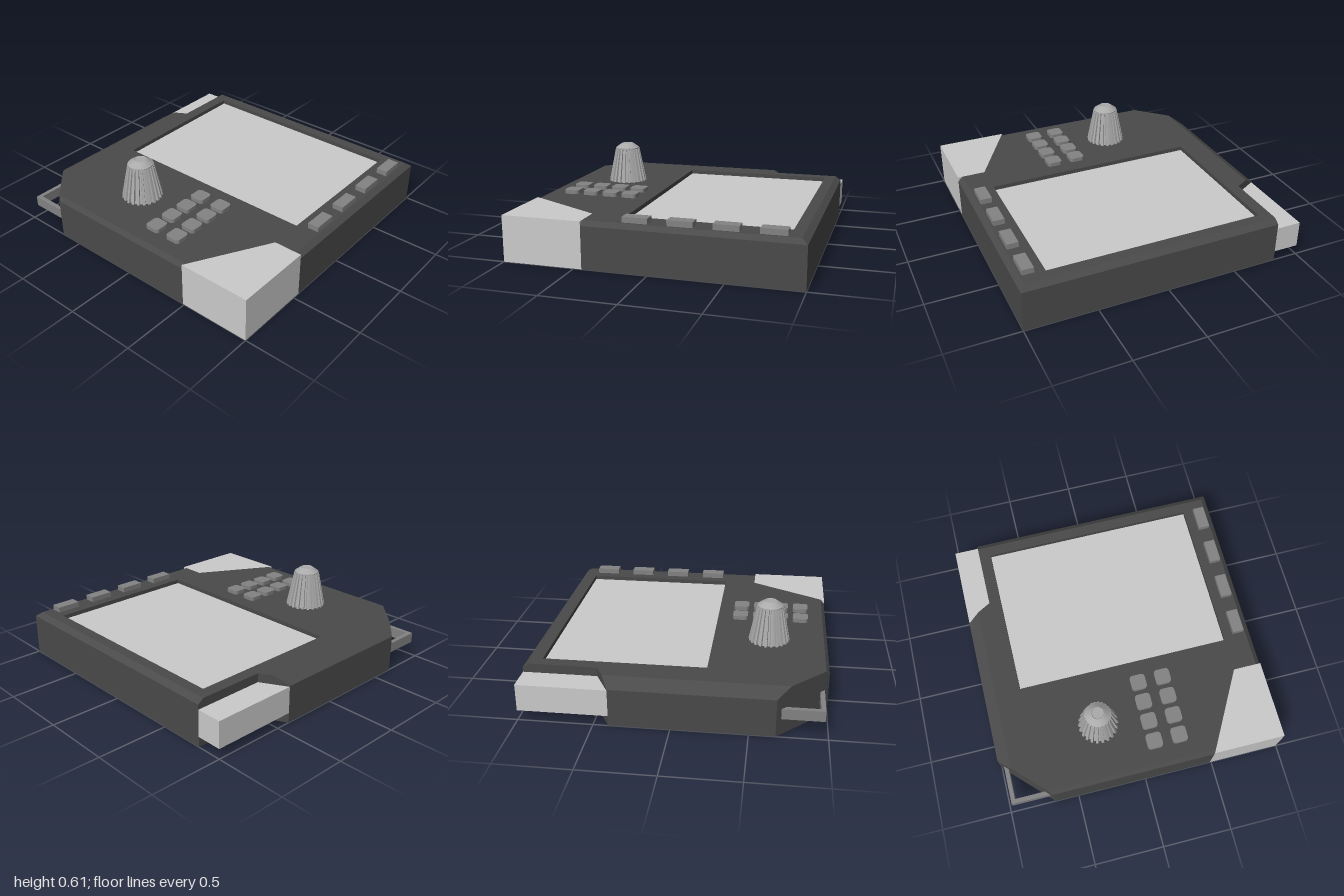
import * as THREE from 'three';

const mat = (color) => new THREE.MeshStandardMaterial({ color, flatShading: true });
const light = mat(0xcccccc), dark = mat(0x4a4a4a), mid = mat(0x838383), knobGrey = mat(0xaaaaaa);

function add(parent, name, geometry, material) {
  const mesh = new THREE.Mesh(geometry, material);
  mesh.name = name;
  parent.add(mesh);
  return mesh;
}

// Upright prism over a plan shape (shape y = -z) between two heights
function prism(shape, y0, y1) {
  const g = new THREE.ExtrudeGeometry(shape, { depth: y1 - y0, bevelEnabled: false, curveSegments: 4 });
  return g.rotateX(-Math.PI / 2).translate(0, y0, 0);
}
const plan = (pts) => new THREE.Shape(pts.map(([x, z]) => new THREE.Vector2(x, -z)));

function box(x0, x1, y0, y1, z0, z1) {
  return new THREE.BoxGeometry(x1 - x0, y1 - y0, z1 - z0)
    .translate((x0 + x1) / 2, (y0 + y1) / 2, (z0 + z1) / 2);
}

function roundedPad(cx, cz, s, r) {
  const h = s / 2, sh = new THREE.Shape();
  sh.moveTo(-h + r, -h);
  sh.absarc(h - r, -h + r, r, -Math.PI / 2, 0);
  sh.absarc(h - r, h - r, r, 0, Math.PI / 2);
  sh.absarc(-h + r, h - r, r, Math.PI / 2, Math.PI);
  sh.absarc(-h + r, -h + r, r, Math.PI, Math.PI * 1.5);
  return prism(sh, 0.31, 0.348).translate(cx, 0, cz);
}

// Walls between successive rings of [x, y, z] points
function walls(rings) {
  const out = [];
  const tri = (...p) => {
    const [a, b, c] = p.map((q) => new THREE.Vector3(...q));
    if (b.clone().sub(a).cross(c.clone().sub(a)).length() > 1e-7) out.push(...p.flat());
  };
  for (let k = 0; k + 1 < rings.length; k++) {
    const lo = rings[k], hi = rings[k + 1];
    lo.forEach((a, i) => {
      const j = (i + 1) % lo.length;
      tri(a, lo[j], hi[j]);
      tri(a, hi[j], hi[i]);
    });
  }
  const g = new THREE.BufferGeometry();
  g.setAttribute('position', new THREE.Float32BufferAttribute(out, 3));
  g.computeVertexNormals();
  return g;
}

const TOP = 0.32;

function createCase() {
  const group = new THREE.Group();
  group.name = 'case';
  // Corners: base x, z, height where the chamfer starts, top x, z
  const corners = [
    [-1, 0.49, 0.29, -0.975, 0.504],
    [-0.445, 0.8, TOP, -0.445, 0.8],
    [-0.445, 1, 0.29, -0.445, 0.965],
    [1, 1, 0.29, 0.96, 0.965],
    [1, -0.82, 0.29, 0.96, -0.82],
    [0.5, -0.82, TOP, 0.5, -0.82],
    [0.4, -1, 0.262, 0.447, -0.915],
    [-0.67, -1, 0.262, -0.755, -0.915],
    [-1, -0.67, 0.29, -0.975, -0.695],
  ];
  // Screen opening, running the other way round so its walls face inwards
  const hole = [[-0.21, 0.8], [-0.21, -0.735], [0.885, -0.735], [0.885, 0.8]];

  add(group, 'caseWalls', walls([
    corners.map(([x, z]) => [x, 0, z]),
    corners.map(([x, z, y]) => [x, y, z]),
    corners.map(([, , , x, z]) => [x, TOP, z]),
  ]), dark);
  add(group, 'screenOpening', walls([0, TOP].map((y) => hole.map(([x, z]) => [x, y, z]))), dark);

  const top = plan(corners.map(([, , , x, z]) => [x, z]));
  top.holes.push(plan(hole));
  add(group, 'caseTop', new THREE.ShapeGeometry(top).rotateX(-Math.PI / 2).translate(0, TOP, 0), dark);

  const bottom = new THREE.Shape(corners.map(([x, z]) => new THREE.Vector2(x, z)));
  bottom.holes.push(new THREE.Path(hole.map(([x, z]) => new THREE.Vector2(x, z))));
  add(group, 'caseBottom', new THREE.ShapeGeometry(bottom).rotateX(Math.PI / 2), dark);
  return group;
}

function createKnob() {
  const knob = new THREE.Group();
  knob.name = 'knob';
  // Tapered skirt with square-cut ribs
  const teeth = 22, n = teeth * 4;
  const ring = (r, y) => Array.from({ length: n }, (_, i) => {
    const a = -((Math.floor(i / 2) + (i % 2 ? 0.42 : -0.42)) / (teeth * 2)) * Math.PI * 2;
    const rr = Math.floor(i / 2) % 2 ? r * 0.89 : r;
    return [Math.cos(a) * rr, y, Math.sin(a) * rr];
  }).reverse();
  const rings = [ring(0.143, 0), ring(0.092, 0.25), ring(0.001, 0.25)];
  // Reversed order runs clockwise from above, so flip to face outwards
  add(knob, 'knobSkirt', walls(rings.map((r) => r.slice().reverse())), knobGrey);
  // Stepped cap
  const profile = [[0.088, 0.25], [0.088, 0.258], [0.055, 0.282], [0.042, 0.29], [0.038, 0.286], [0, 0.286]];
  add(knob, 'knobCap', new THREE.LatheGeometry(profile.map((p) => new THREE.Vector2(...p)), 24), knobGrey);
  knob.position.set(-0.595, TOP, -0.25);
  return knob;
}

export function createModel() {
  const model = new THREE.Group();
  model.name = 'controlPanel';
  model.add(createCase());

  // Screen slab, flush below and recessed above
  add(model, 'screen', box(-0.21, 0.885, 0, 0.29, -0.735, 0.8), light);

  // Light corner blocks
  add(model, 'frontCorner', prism(plan([[-1, 1], [-0.445, 1], [-0.445, 0.8], [-1, 0.49]]), 0, TOP), light);
  add(model, 'backCorner', prism(plan([[0.5, -0.82], [1, -0.82], [1, -1], [0.4, -1]]), 0.07, 0.257), light);

  // Strap loop at the cut corner
  add(model, 'strapLoop', prism(plan([
    [-0.975, -0.66], [-0.945, -0.66], [-0.945, -0.94], [-0.66, -0.94], [-0.66, -0.97], [-0.975, -0.97],
  ]), 0.112, 0.185), mid);

  model.add(createKnob());

  // Keypad
  const keypad = new THREE.Group();
  keypad.name = 'keypad';
  for (const z of [0.1, 0.28]) {
    for (let i = 0; i < 4; i++) add(keypad, 'key', roundedPad(-0.813 + i * 0.146, z, 0.11, 0.024), mid);
  }
  model.add(keypad);

  // Keys below the screen
  const screenKeys = new THREE.Group();
  screenKeys.name = 'screenKeys';
  for (let i = 0; i < 4; i++) {
    const x = -0.18 + i * 0.295;
    add(screenKeys, 'screenKey', box(x, x + 0.17, 0.31, 0.358, 0.87, 0.95), mid);
  }
  model.add(screenKeys);
  return model;
}
